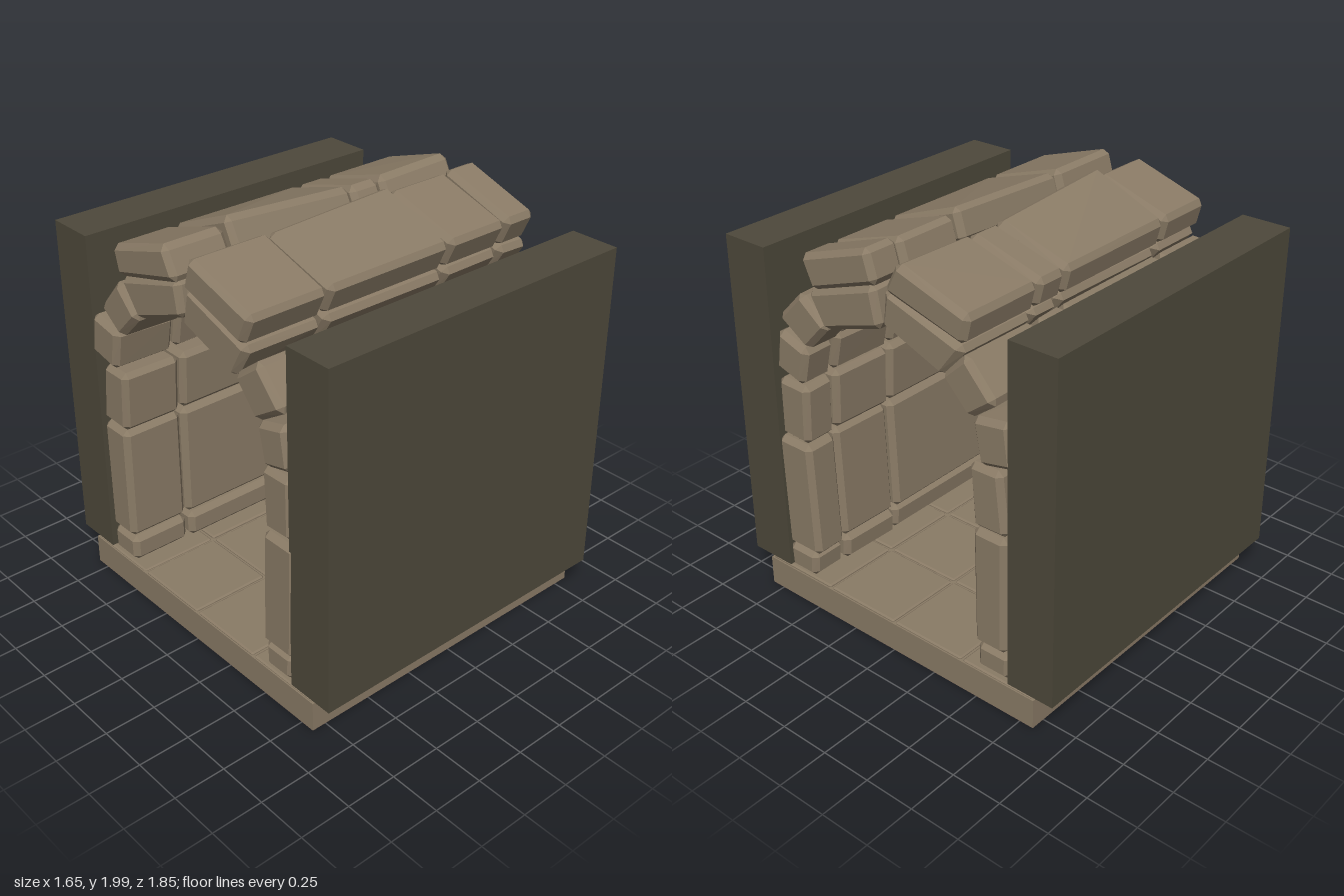
import * as THREE from 'three';
import { ConvexGeometry } from 'three/addons/geometries/ConvexGeometry.js';

const stone = new THREE.MeshStandardMaterial({ color: 0x8a7b66 });
stone.name = 'sandstone';
const dark = new THREE.MeshStandardMaterial({ color: 0x4e493b });
dark.name = 'dark wall';
const earth = new THREE.MeshStandardMaterial({ color: 0x87705f });
earth.name = 'earth underside';

let seed = 11;
const rand = () => {
  seed = (seed * 16807) % 2147483647;
  return seed / 2147483647 - 0.5;
};

// Chamfered hexahedron; quads are the [z, y] outlines at x0 and x1:
// inner bottom, outer bottom, outer top, inner top
function blockGeometry(x0, x1, quad0, quad1, chamfer) {
  const point = (u, v, w) => {
    const at = (q, i) => (1 - v) * ((1 - w) * q[0][i] + w * q[3][i]) + v * ((1 - w) * q[1][i] + w * q[2][i]);
    const mix = (i) => (1 - u) * at(quad0, i) + u * at(quad1, i);
    return new THREE.Vector3(x0 + (x1 - x0) * u, mix(1), mix(0));
  };
  const length = (a, b) => Math.hypot(a[0] - b[0], a[1] - b[1]);
  const inset = [x1 - x0, length(quad0[0], quad0[1]), length(quad0[0], quad0[3])]
    .map((d) => Math.min(0.3, chamfer / d));
  const points = [];
  for (let corner = 0; corner < 8; corner++) {
    const bits = [corner & 1, (corner >> 1) & 1, corner >> 2];
    for (let axis = 0; axis < 3; axis++) {
      points.push(point(...bits.map((b, i) => (i === axis ? b : b ? 1 - inset[i] : inset[i]))));
    }
  }
  return new ConvexGeometry(points);
}

function add(parent, name, geometry, material, x = 0, y = 0, z = 0) {
  const mesh = new THREE.Mesh(geometry, material);
  mesh.name = name;
  mesh.position.set(x, y, z);
  parent.add(mesh);
}

// Courses of one half of the vault, from the floor to the crown
const frontHalf = {
  name: 'frontVault',
  joints: [-0.825, -0.405, 0.285, 0.635, 0.825],
  lifts: [[0, 0], [-0.005, 0.025], [0, 0], [0.01, 0.01]],
  courses: [
    [[0.51, 0.165], [0.68, 0.165], [0.69, 0.3], [0.5, 0.3]],
    [[0.48, 0.3], [0.69, 0.3], [0.705, 0.89], [0.5, 0.89]],
    [[0.505, 0.895], [0.68, 0.895], [0.68, 1.195], [0.49, 1.195]],
    [[0.51, 1.195], [0.68, 1.24], [0.65, 1.45], [0.465, 1.39]],
    [[0.47, 1.385], [0.65, 1.5], [0.49, 1.67], [0.33, 1.54]],
    [[0.34, 1.53], [0.44, 1.69], [0.03, 1.825], [-0.005, 1.64]],
    [[0.4, 1.69], [0.47, 1.84], [0.06, 1.968], [0.015, 1.815]],
  ],
};
const backHalf = {
  name: 'backVault',
  joints: [-0.825, -0.5, 0.205, 0.38, 0.825],
  lifts: [[0, 0], [0.04, -0.01], [-0.015, -0.015], [-0.01, 0]],
  courses: [
    [[-0.49, 0.165], [-0.67, 0.165], [-0.675, 0.3], [-0.49, 0.3]],
    [[-0.485, 0.3], [-0.66, 0.3], [-0.665, 0.89], [-0.48, 0.89]],
    [[-0.49, 0.895], [-0.675, 0.895], [-0.64, 1.2], [-0.47, 1.2]],
    [[-0.525, 1.2], [-0.71, 1.24], [-0.685, 1.45], [-0.485, 1.41]],
    [[-0.48, 1.385], [-0.63, 1.5], [-0.47, 1.68], [-0.33, 1.54]],
    [[-0.33, 1.53], [-0.46, 1.69], [-0.02, 1.825], [0.0, 1.66]],
    [[-0.45, 1.7], [-0.485, 1.84], [-0.1, 1.965], [-0.02, 1.815]],
  ],
};

function vaultHalf({ name, joints, lifts, courses }) {
  const half = new THREE.Group();
  half.name = name;
  courses.forEach((quad, row) => {
    const crown = row === courses.length - 1;
    for (let col = 0; col < 4; col++) {
      // Each stone sits slightly in or out of line
      const shift = rand() * 0.025;
      const ends = [0, 1].map((end) => {
        const slip = row < 5 ? shift + rand() * 0.012 : 0;
        return quad.map(([z, y], i) => [
          z + slip,
          y + (crown && i > 1 ? lifts[col][end] : 0) + (row > 1 && !crown ? rand() * 0.012 : 0),
        ]);
      });
      const x0 = joints[col] + 0.004 + (crown ? 0 : rand() * 0.014);
      const x1 = joints[col + 1] - 0.004 + (crown ? 0 : rand() * 0.014);
      add(half, 'vaultStone', blockGeometry(x0, x1, ends[0], ends[1], 0.026), stone);
    }
  });
  return half;
}

export function createModel() {
  const model = new THREE.Group();
  model.name = 'stoneTunnel';

  // Floor slab with bevelled paving
  add(model, 'floorSlab', new THREE.BoxGeometry(1.645, 0.147, 1.645), stone, 0, 0.0755, 0);
  add(model, 'slabUnderside', new THREE.BoxGeometry(1.645, 0.002, 1.645), earth, 0, 0.001, 0);
  const step = 0.411;
  for (let i = -2; i < 2; i++) {
    for (let j = -2; j < 2; j++) {
      const z0 = j * step + 0.006;
      const z1 = (j + 1) * step - 0.006;
      const top = 0.16 + rand() * 0.006;
      const quad = [[z0, 0.14], [z1, 0.14], [z1, top], [z0, top]];
      add(model, 'pavingTile', blockGeometry(i * step + 0.006, (i + 1) * step - 0.006, quad, quad, 0.008), stone);
    }
  }

  // Plain outer walls
  for (const side of [1, -1]) {
    add(model, side > 0 ? 'frontWall' : 'backWall', new THREE.BoxGeometry(1.645, 1.648, 0.243), dark, 0, 0.991, side * 0.804);
  }

  // Vault stones
  model.add(vaultHalf(frontHalf), vaultHalf(backHalf));
  return model;
}
